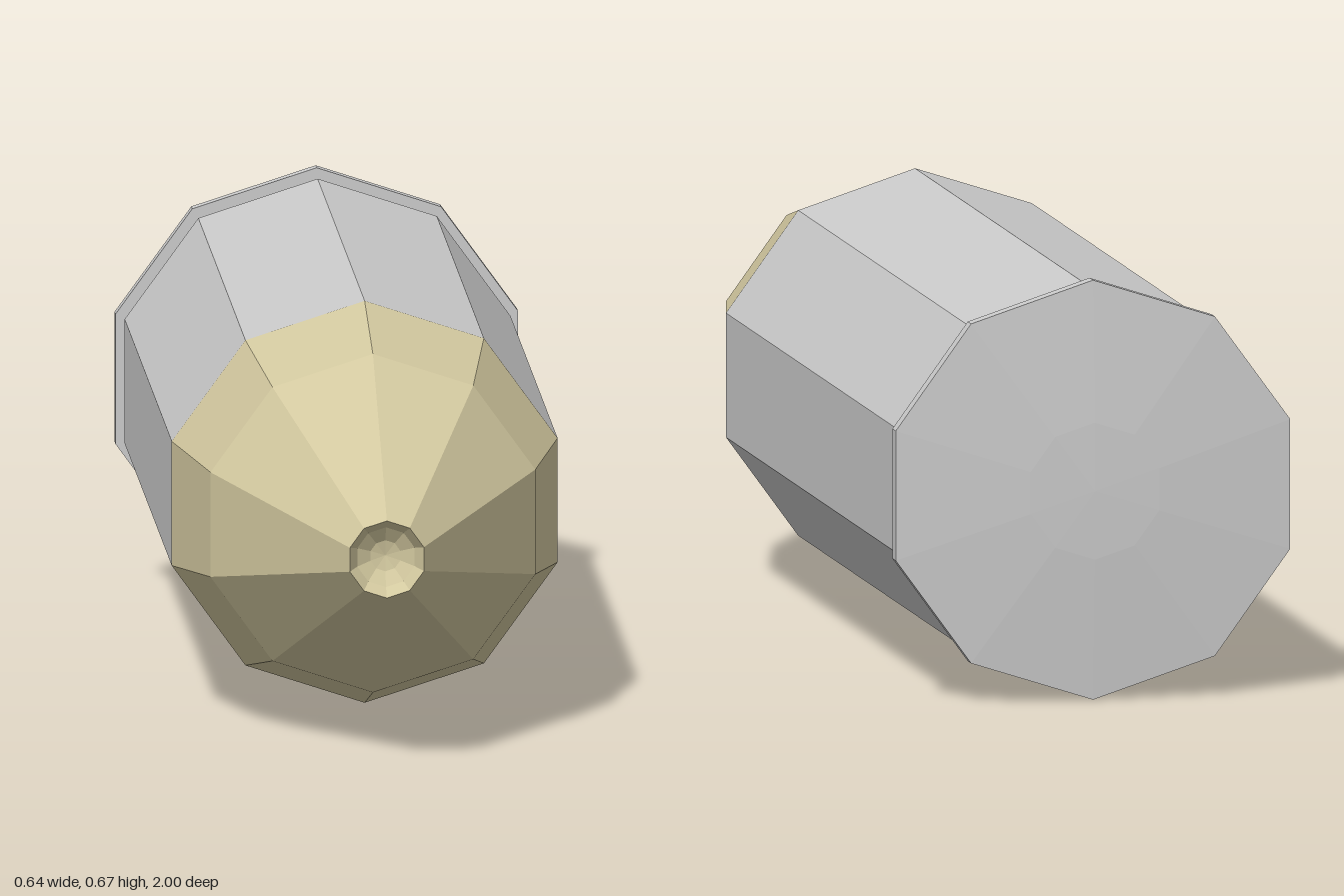
import * as THREE from 'three';

const SIDES = 10;
const AXIS_HEIGHT = 0.338;

// Ten-sided shell turned around the z axis; profile runs back to front as [radius, z]
function turned(name, profile, color) {
  const points = profile.map(([r, z]) => new THREE.Vector2(r, z));
  const geometry = new THREE.LatheGeometry(points, SIDES);
  geometry.rotateX(Math.PI / 2);
  const material = new THREE.MeshStandardMaterial({ color, flatShading: true });
  const mesh = new THREE.Mesh(geometry, material);
  mesh.name = name;
  mesh.position.y = AXIS_HEIGHT;
  return mesh;
}

export function createModel() {
  const group = new THREE.Group();
  group.name = 'cartridge';

  // Casing: slightly domed base, rim, extraction groove and straight wall
  group.add(turned('casing', [
    [0, -1], [0.11, -0.998], [0.337, -0.983], [0.337, -0.957],
    [0.263, -0.957], [0.263, -0.932], [0.323, -0.932], [0.323, 0.38],
  ], 0xcccccc));

  // Bullet: two tapers ending in a small hollow point
  group.add(turned('bulletTip', [
    [0.323, 0.38], [0.272, 0.61], [0.062, 1],
    [0.048, 0.975], [0.025, 0.96], [0, 0.955],
  ], 0xd2c89f));

  return group;
}
